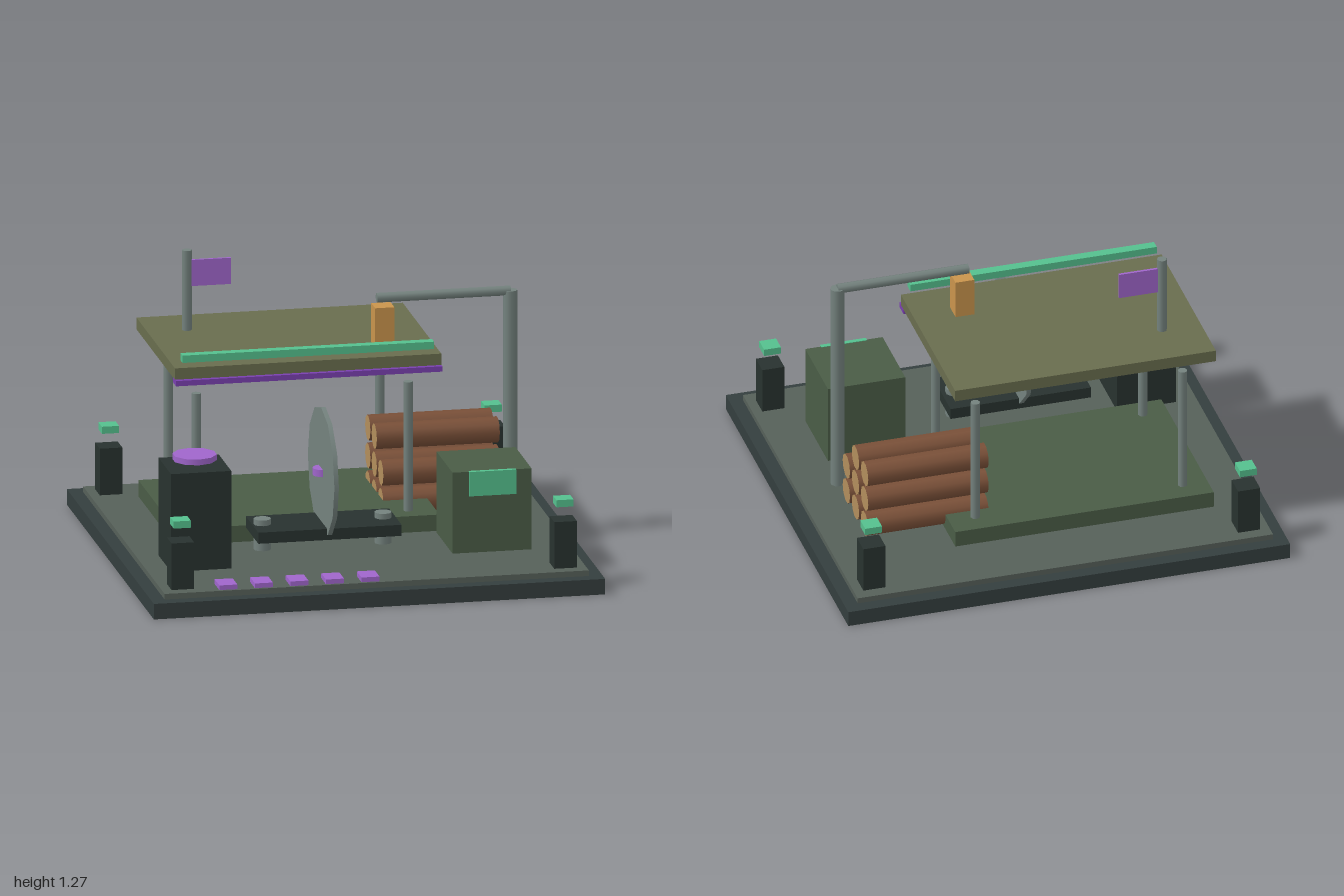
import * as THREE from 'three';

const mat = (color) => new THREE.MeshStandardMaterial({ color });

export function createModel() {
  const model = new THREE.Group();
  const M = {
    base: mat(0x343e3e), deck: mat(0x566059), dark: mat(0x28322f), floor: mat(0x4a5c46),
    roof: mat(0x696d4e), steel: mat(0x74827e), purple: mat(0xa066cc), trim: mat(0x7a40b0),
    green: mat(0x55c08e), orange: mat(0xc9944c), bark: mat(0x7a5038), cut: mat(0xb28e5c),
  };

  const add = (name, geometry, material, x, y, z) => {
    const mesh = new THREE.Mesh(geometry, material);
    mesh.name = name;
    mesh.position.set(x, y, z);
    model.add(mesh);
    return mesh;
  };
  // Box given by its limits on each axis
  const box = (name, material, x0, x1, y0, y1, z0, z1) =>
    add(name, new THREE.BoxGeometry(x1 - x0, y1 - y0, z1 - z0), material,
      (x0 + x1) / 2, (y0 + y1) / 2, (z0 + z1) / 2);
  // Upright cylinder between two heights
  const post = (name, material, x, z, r, y0, y1, sides = 8) =>
    add(name, new THREE.CylinderGeometry(r, r, y1 - y0, sides), material, x, (y0 + y1) / 2, z);
  // Cylinder lying along x
  const bar = (name, material, x0, x1, y, z, r, sides) => {
    const mesh = add(name, new THREE.CylinderGeometry(r, r, x1 - x0, sides), material, (x0 + x1) / 2, y, z);
    mesh.rotation.z = -Math.PI / 2;
    return mesh;
  };

  // Ground slab and deck
  box('base', M.base, -1, 1, 0, 0.07, -0.94, 0.94);
  box('deck', M.deck, -0.94, 0.94, 0.07, 0.095, -0.88, 0.88);

  // Corner bollards with floating lamps
  for (const sx of [-1, 1]) for (const sz of [-1, 1]) {
    const x = sx * 0.848, z = sz * 0.775;
    box('bollard', M.dark, x - 0.05, x + 0.05, 0.095, 0.305, z - 0.05, z + 0.05);
    box('lamp', M.green, x - 0.038, x + 0.038, 0.368, 0.4, z - 0.038, z + 0.038);
  }

  // Open shed: floor, four posts, roof and trims
  box('shedFloor', M.floor, -0.75, 0.42, 0.113, 0.186, -0.615, 0.19);
  for (const x of [-0.638, 0.3]) for (const z of [-0.515, 0.095])
    post('shedPost', M.steel, x, z, 0.021, 0.15, 0.768);
  box('roof', M.roof, -0.755, 0.425, 0.862, 0.915, -0.63, 0.203);
  box('roofTrim', M.trim, -0.755, 0.425, 0.84, 0.864, 0.163, 0.225);
  box('roofLightBar', M.green, -0.725, 0.39, 0.942, 0.975, 0.175, 0.218);

  // Flag on the roof
  post('flagPole', M.steel, -0.58, -0.395, 0.022, 0.857, 1.275);
  box('flag', M.purple, -0.56, -0.385, 1.112, 1.23, -0.401, -0.389);

  // Crane with its hanging block
  post('cranePost', M.steel, 0.772, 0, 0.031, 0.137, 1.128, 10);
  bar('craneBoom', M.steel, 0.18, 0.772, 1.125, 0, 0.022, 8);
  box('craneBlock', M.orange, 0.165, 0.25, 0.89, 1.09, -0.043, 0.043);

  // Log stack: rows of three, three and two
  const rows = [[-0.13, -0.27, -0.41], [-0.13, -0.27, -0.41], [-0.27, -0.41]];
  rows.forEach((row, i) => row.forEach((z) => {
    bar('log', [M.bark, M.cut, M.cut], 0.225, 0.77, 0.172 + i * 0.126, z, 0.057, 10);
  }));

  // Tower with a round cap
  box('tower', M.dark, -0.845, -0.578, 0.1, 0.54, 0.285, 0.555);
  post('towerCap', M.purple, -0.713, 0.42, 0.097, 0.562, 0.588, 10);

  // Saw bench, rollers, blade and hub
  box('sawBench', M.dark, -0.455, 0.18, 0.2, 0.25, 0.27, 0.54);
  for (const x of [-0.41, 0.125]) post('roller', M.steel, x, 0.405, 0.038, 0.137, 0.275, 10);
  bar('sawBlade', M.steel, -0.15, -0.13, 0.475, 0.41, 0.287, 12);
  post('sawHub', M.purple, -0.139, 0.405, 0.048, 0.458, 0.49, 10);

  // Control cabinet with a screen
  box('cabinet', M.floor, 0.4, 0.75, 0.115, 0.48, 0.22, 0.568);
  box('cabinetScreen', M.green, 0.472, 0.68, 0.372, 0.482, 0.56, 0.58);

  // Row of floor markers
  for (let i = 0; i < 5; i++) {
    const x = -0.655 + i * 0.1575;
    box('floorMarker', M.purple, x - 0.04, x + 0.04, 0.09, 0.116, 0.765, 0.867);
  }
  return model;
}
